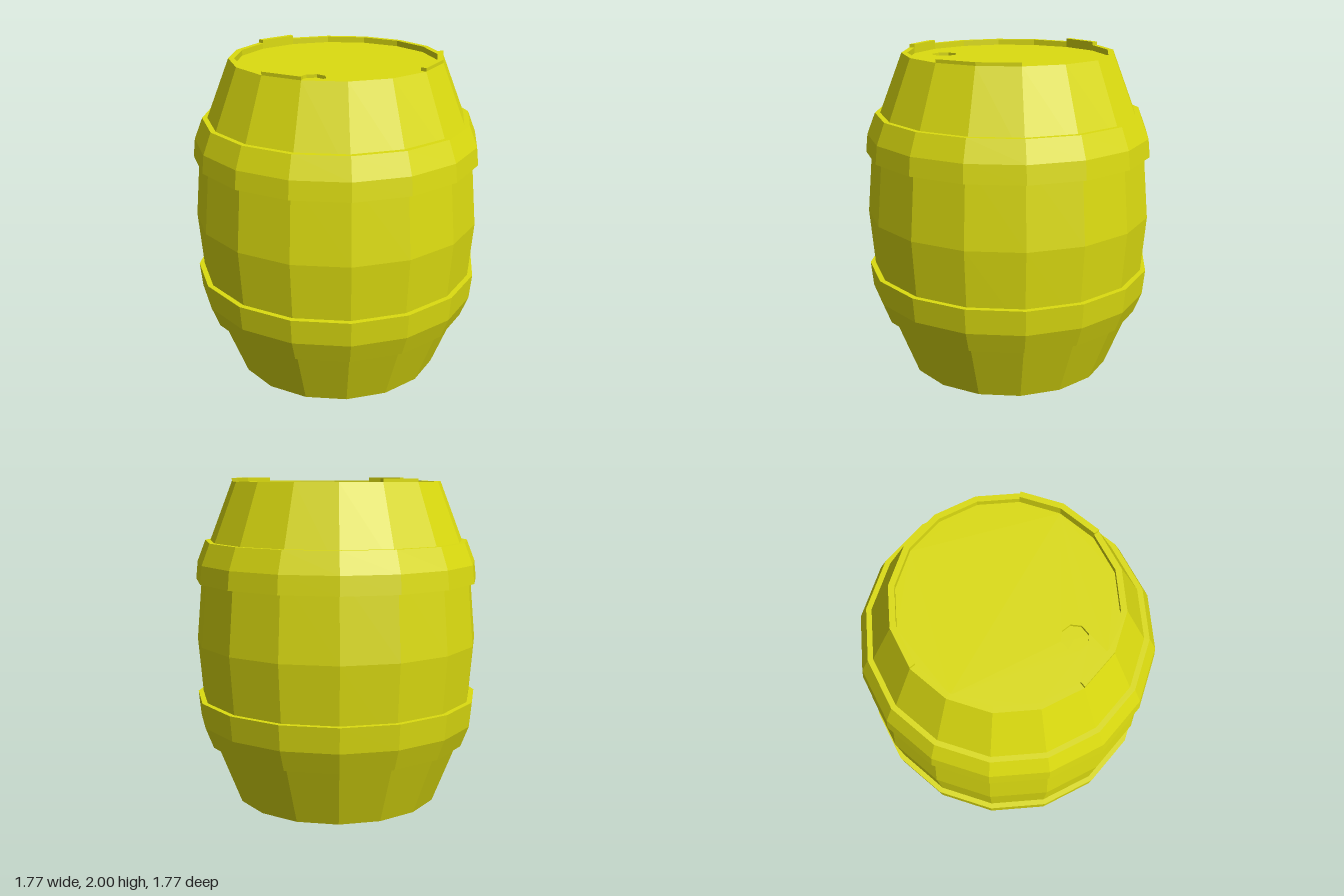
import * as THREE from 'three';

const SIDES = 16;
const STEP = (Math.PI * 2) / SIDES;
const LID_Y = 1.945;
const RIM_Y = 1.98;
const RIM_OUTER = 0.645;
const RIM_INNER = 0.61;
const BUNG = { x: -0.39, z: 0.15, r: 0.078, depth: 0.02 };

const yellow = new THREE.MeshStandardMaterial({ color: 0xdcdc10 });
yellow.name = 'barrel yellow';

// Faceted mesh: every face gets its own normals
function facetedMesh(name, geometry) {
  const flat = geometry.index ? geometry.toNonIndexed() : geometry;
  flat.computeVertexNormals();
  const mesh = new THREE.Mesh(flat, yellow);
  mesh.name = name;
  return mesh;
}

function lathe(profile, sides = SIDES, start = 0) {
  return new THREE.LatheGeometry(profile.map(([r, y]) => new THREE.Vector2(r, y)), sides, start);
}

function polygon(path, cx, cy, r, sides, start) {
  for (let i = 0; i < sides; i++) {
    const a = start + (i * Math.PI * 2) / sides;
    const x = cx + r * Math.cos(a), y = cy + r * Math.sin(a);
    if (i === 0) path.moveTo(x, y);
    else path.lineTo(x, y);
  }
  path.closePath();
  return path;
}

// Block bent onto one side of the rim: x becomes angle, z becomes radius
function rimStave(side) {
  const geometry = new THREE.BoxGeometry(1, 1, 1);
  const p = geometry.attributes.position;
  for (let i = 0; i < p.count; i++) {
    const angle = (side + p.getX(i) + 0.5) * STEP;
    const r = p.getZ(i) > 0 ? RIM_OUTER : RIM_INNER;
    p.setXYZ(i, r * Math.sin(angle), p.getY(i) > 0 ? 2 : RIM_Y, r * Math.cos(angle));
  }
  return facetedMesh('raisedStave', geometry);
}

export function createModel() {
  const barrel = new THREE.Group();
  barrel.name = 'barrel';

  // Closed bottom, bulging wall, rim and its inner wall
  barrel.add(facetedMesh('body', lathe([
    [0, 0], [RIM_OUTER, 0], [0.84, 0.5], [0.88, 1], [0.836, 1.49],
    [RIM_OUTER, RIM_Y], [RIM_INNER, RIM_Y], [RIM_INNER, LID_Y],
  ])));

  // Two hoops around the body
  barrel.add(facetedMesh('lowerHoop', lathe([
    [0.77, 0.37], [0.82, 0.37], [0.87, 0.5], [0.885, 0.655], [0.84, 0.655],
  ])));
  barrel.add(facetedMesh('upperHoop', lathe([
    [0.83, 1.38], [0.88, 1.38], [0.868, 1.49], [0.817, 1.62], [0.77, 1.62],
  ])));

  // Recessed lid with the bung hole cut out
  const lidShape = polygon(new THREE.Shape(), 0, 0, RIM_INNER, SIDES, 0);
  lidShape.holes.push(polygon(new THREE.Path(), BUNG.x, -BUNG.z, BUNG.r, 8, Math.PI / 8));
  const lid = new THREE.ShapeGeometry(lidShape).rotateX(-Math.PI / 2).translate(0, LID_Y, 0);
  barrel.add(facetedMesh('lid', lid));

  // Shallow wall and floor of the bung hole
  const bung = facetedMesh('bungHole', lathe(
    [[BUNG.r, 0], [BUNG.r, -BUNG.depth], [0, -BUNG.depth]], 8, Math.PI / 8));
  bung.position.set(BUNG.x, LID_Y, BUNG.z);
  barrel.add(bung);

  // Uneven staves standing proud of the rim
  for (const side of [0, 1, 7, 12]) barrel.add(rimStave(side));

  return barrel;
}
